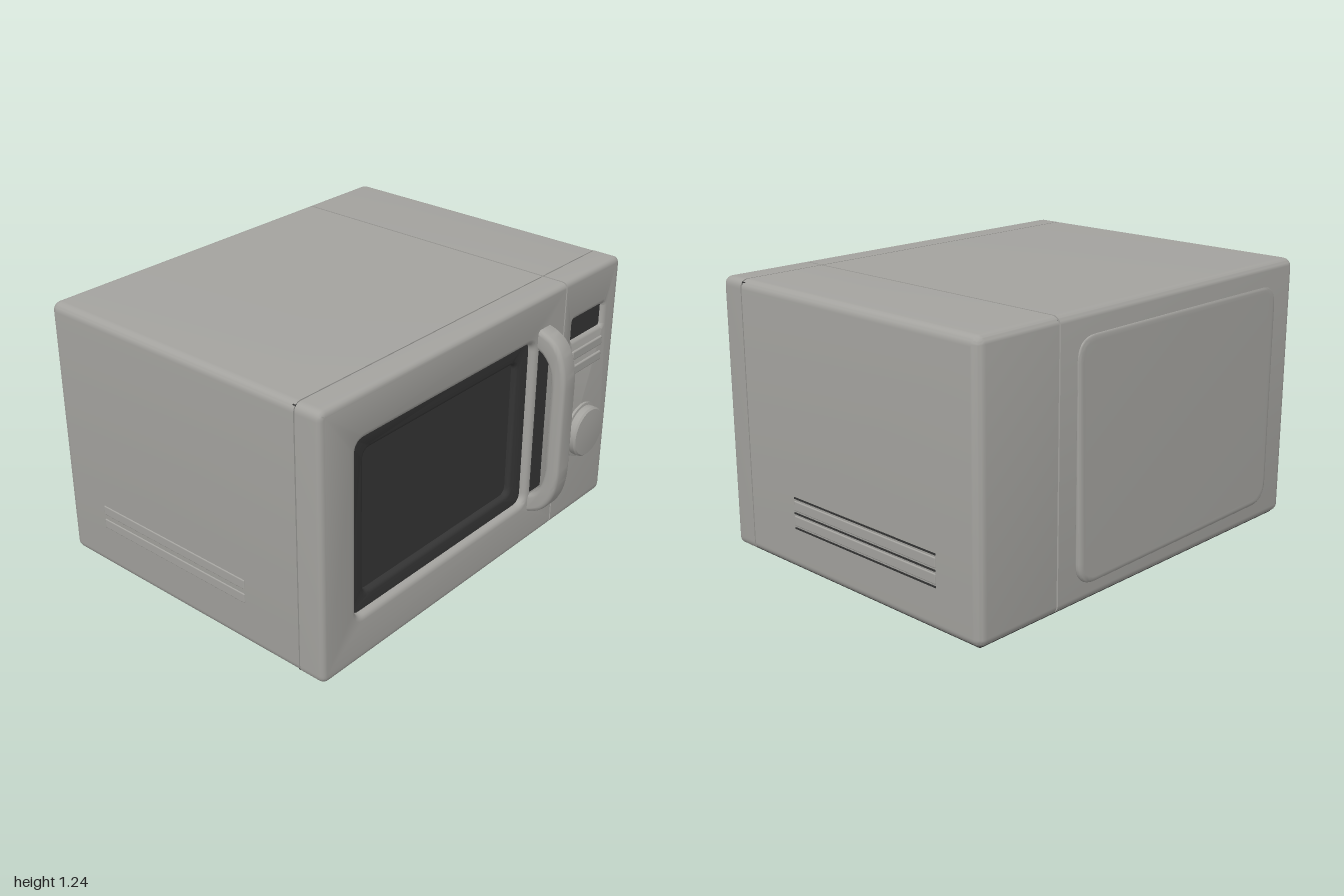
import * as THREE from 'three';
import { toCreasedNormals } from 'three/addons/utils/BufferGeometryUtils.js';
import { RoundedBoxGeometry } from 'three/addons/geometries/RoundedBoxGeometry.js';

const SEAM_X = 0.57, SEAM_Z = 0.575, BOTTOM = 0.03, TOP = 1.24, FRONT = 0.7, BACK = -0.815;

const shell = new THREE.MeshStandardMaterial({ color: 0xa3a29e });
shell.name = 'shellGrey';
const dark = new THREE.MeshStandardMaterial({ color: 0x343434 });
dark.name = 'darkGrey';

function add(parent, name, geometry, material, x = 0, y = 0, z = 0) {
  const mesh = new THREE.Mesh(geometry, material);
  mesh.name = name;
  mesh.position.set(x, y, z);
  parent.add(mesh);
  return mesh;
}

function roundRect(Kind, x0, y0, x1, y1, r) {
  const s = new Kind();
  s.moveTo(x0 + r, y0).lineTo(x1 - r, y0).quadraticCurveTo(x1, y0, x1, y0 + r);
  s.lineTo(x1, y1 - r).quadraticCurveTo(x1, y1, x1 - r, y1);
  s.lineTo(x0 + r, y1).quadraticCurveTo(x0, y1, x0, y1 - r);
  s.lineTo(x0, y0 + r).quadraticCurveTo(x0, y0, x0 + r, y0);
  return s;
}

// Extrusion with rounded edges that keeps the drawn outline; runs from z0 to z1
function roundedExtrude(shape, z0, z1, bevel) {
  const g = new THREE.ExtrudeGeometry(shape, {
    depth: z1 - z0 - 2 * bevel, bevelThickness: bevel, bevelSize: bevel,
    bevelOffset: -bevel, bevelSegments: 4, curveSegments: 8,
  });
  return g.translate(0, 0, z0 + bevel);
}

// Flattens everything outside the limits, leaving a crisp planar cut
function cut(g, xMin, xMax, zMin, zMax) {
  const p = g.attributes.position;
  for (let i = 0; i < p.count; i++) {
    p.setX(i, THREE.MathUtils.clamp(p.getX(i), xMin, xMax));
    p.setZ(i, THREE.MathUtils.clamp(p.getZ(i), zMin, zMax));
  }
  return toCreasedNormals(g, 0.6);
}

// Front slab with an opening
function facePlate(x0, x1, xMin, xMax, hole) {
  const s = roundRect(THREE.Shape, x0, BOTTOM, x1, TOP, 0.04);
  s.holes.push(hole);
  return cut(roundedExtrude(s, SEAM_Z - 0.08, FRONT, 0.025), xMin, xMax, SEAM_Z + 0.003, 2);
}

function addCase(group) {
  const h = TOP - BOTTOM, depth = FRONT - BACK;
  const block = () => new RoundedBoxGeometry(2, h, depth, 5, 0.04)
    .translate(0, (TOP + BOTTOM) / 2, (FRONT + BACK) / 2);
  add(group, 'ovenCase', cut(block(), -2, SEAM_X - 0.004, -2, SEAM_Z - 0.003), shell);
  add(group, 'controlCase', cut(block(), SEAM_X + 0.004, 2, -2, SEAM_Z - 0.003), shell);
  // Dark core seen through the seams
  add(group, 'sideSeam', new THREE.BoxGeometry(0.04, h - 0.03, depth - 0.03), dark,
    SEAM_X, (TOP + BOTTOM) / 2, (FRONT + BACK) / 2);
  add(group, 'frontSeam', new THREE.BoxGeometry(1.98, h - 0.02, 0.03), dark,
    0, (TOP + BOTTOM) / 2, SEAM_Z);
  add(group, 'basePlate', new THREE.BoxGeometry(1.94, 0.008, depth - 0.06), dark,
    0, BOTTOM - 0.001, (FRONT + BACK) / 2);

  // Swollen rear cover, deepest low down beside the seam
  const cover = roundedExtrude(roundRect(THREE.Shape, -0.86, 0.12, 0.47, 1.14, 0.1), 0, 0.06, 0.025);
  const p = cover.attributes.position;
  for (let i = 0; i < p.count; i++) {
    const x = THREE.MathUtils.clamp((p.getX(i) + 0.95) / 1.2, 0, 1);
    const y = THREE.MathUtils.clamp((1.3 - p.getY(i)) / 0.9, 0, 1);
    const out = (0.06 - p.getZ(i)) / 0.06;
    p.setZ(i, BACK + 0.006 - out * (0.008 + 0.028 * x * y));
  }
  add(group, 'rearCover', toCreasedNormals(cover, 0.8), shell);

  for (const x of [-0.8, 0.8]) for (const z of [0.48, -0.64]) {
    add(group, 'foot', new THREE.CylinderGeometry(0.085, 0.065, 0.035, 20), dark, x, 0.0175, z);
  }
}

function addVents(group) {
  for (const side of [-1, 1]) {
    for (const y of [0.253, 0.32]) {
      add(group, 'ventRib', new RoundedBoxGeometry(0.012, 0.045, 0.86, 3, 0.005), shell, side * 0.998, y, -0.15);
    }
  }
  for (const y of [0.22, 0.287, 0.355]) {
    add(group, 'ventSlot', new THREE.BoxGeometry(0.006, 0.008, 0.86), dark, 0.999, y, -0.15);
  }
}

function addDoor(group) {
  const door = new THREE.Group();
  door.name = 'door';
  group.add(door);
  const edge = SEAM_X - 0.004;
  add(door, 'doorFrame', facePlate(-1, edge + 0.08, -2, edge,
    roundRect(THREE.Path, -0.8, 0.24, 0.35, 1.04, 0.05)), shell);
  // Window: a stepped dark rim around a sunken pane
  const rim = roundRect(THREE.Shape, -0.84, 0.2, 0.39, 1.08, 0.04);
  rim.holes.push(roundRect(THREE.Path, -0.72, 0.31, 0.27, 0.96, 0.04));
  add(door, 'windowRim', toCreasedNormals(roundedExtrude(rim, 0.61, 0.667, 0.02), 0.6), dark);
  add(door, 'windowPane', new THREE.BoxGeometry(1.2, 0.84, 0.008), dark, -0.225, 0.64, 0.635);

  // Bow handle, drawn in side profile
  const s = new THREE.Shape();
  s.moveTo(0.68, 0.18).quadraticCurveTo(0.79, 0.2, 0.828, 0.32);
  s.quadraticCurveTo(0.845, 0.38, 0.845, 0.45).lineTo(0.845, 0.84);
  s.quadraticCurveTo(0.845, 0.93, 0.815, 1.0).quadraticCurveTo(0.78, 1.075, 0.68, 1.09);
  s.lineTo(0.68, 1.0).quadraticCurveTo(0.775, 0.97, 0.775, 0.84);
  s.lineTo(0.775, 0.45).quadraticCurveTo(0.775, 0.3, 0.68, 0.27);
  const bow = roundedExtrude(s, 0, 0.1, 0.02).rotateY(-Math.PI / 2);
  add(door, 'handle', toCreasedNormals(bow, 0.8), shell, 0.47);
  add(door, 'handleBacking', new THREE.BoxGeometry(0.08, 0.7, 0.006), dark, 0.42, 0.64, FRONT);
}

function addControls(group) {
  const panel = new THREE.Group();
  panel.name = 'controlPanel';
  group.add(panel);
  const edge = SEAM_X + 0.004;
  add(panel, 'panelFace', facePlate(edge - 0.08, 1, edge, 2,
    roundRect(THREE.Path, 0.645, 0.935, 0.89, 1.04, 0.012)), shell);
  add(panel, 'display', new THREE.BoxGeometry(0.3, 0.16, 0.008), dark, 0.768, 0.985, 0.675);
  // Button bars
  for (const y of [0.79, 0.865]) {
    add(panel, 'buttonBar', new RoundedBoxGeometry(0.24, 0.045, 0.016, 3, 0.007), shell, 0.77, y, FRONT);
  }
  // Dial with a collar and a domed cap
  const profile = [[0.132, 0], [0.132, 0.012], [0.12, 0.014], [0.12, 0.044], [0.112, 0.052], [0.07, 0.056], [0, 0.058]]
    .map(([r, y]) => new THREE.Vector2(r, y));
  const dial = new THREE.LatheGeometry(profile, 40).rotateX(Math.PI / 2);
  add(panel, 'dial', toCreasedNormals(dial, 0.6), shell, 0.77, 0.452, FRONT);
}

export function createModel() {
  const group = new THREE.Group();
  group.name = 'microwaveOven';
  addCase(group);
  addVents(group);
  addDoor(group);
  addControls(group);
  return group;
}
